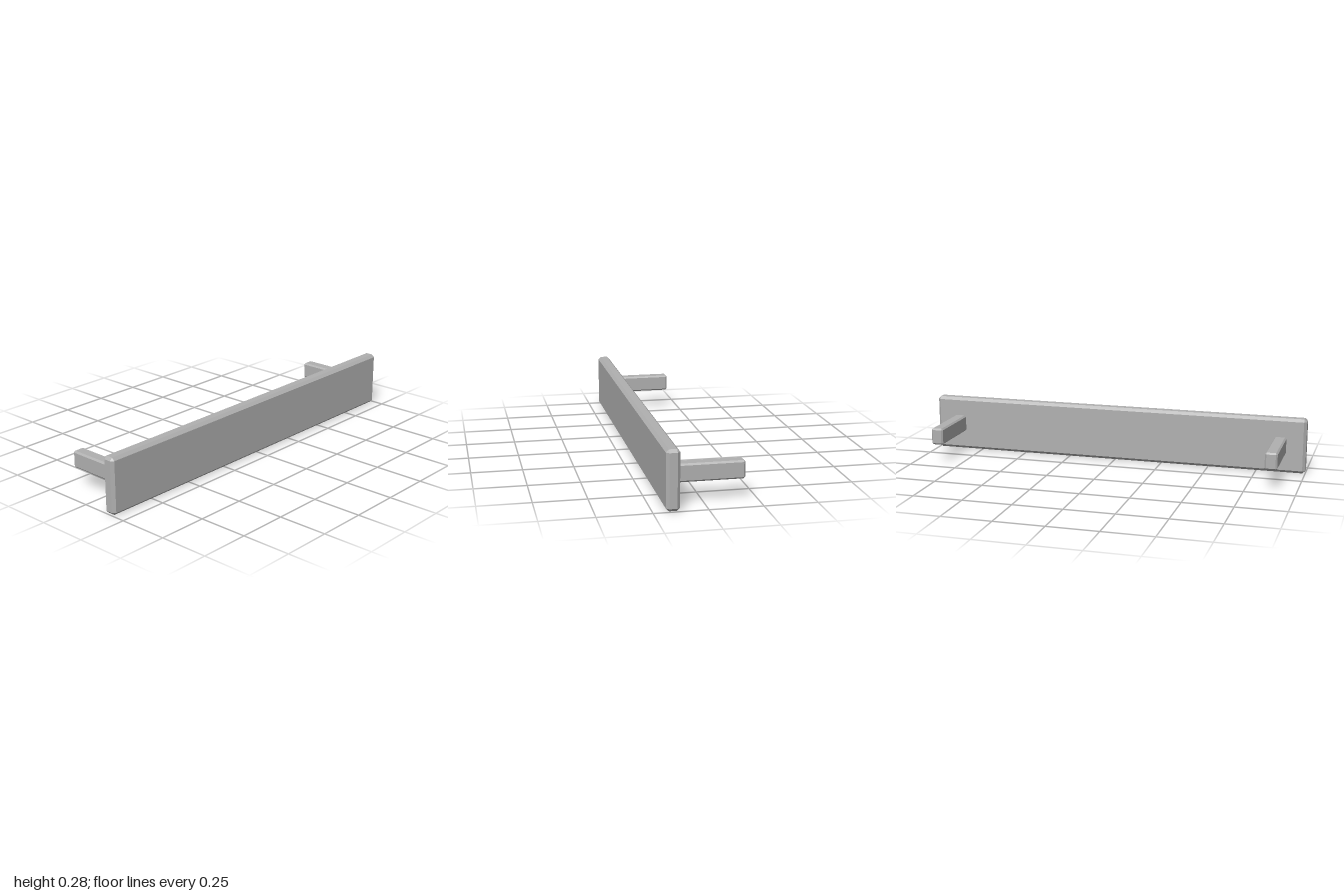
import * as THREE from 'three';
import { ConvexGeometry } from 'three/addons/geometries/ConvexGeometry.js';

// Box with flat chamfers on every edge, as the hull of its 24 corner points
function chamferedBox(w, h, d, c) {
  const half = [w / 2, h / 2, d / 2];
  const points = [];
  for (const sx of [-1, 1]) for (const sy of [-1, 1]) for (const sz of [-1, 1]) {
    for (let outer = 0; outer < 3; outer++) {
      const [x, y, z] = half.map((v, i) => (i === outer ? v : v - c));
      points.push(new THREE.Vector3(sx * x, sy * y, sz * z));
    }
  }
  return new ConvexGeometry(points);
}

export function createModel() {
  const group = new THREE.Group();
  group.name = 'wallRail';
  const grey = new THREE.MeshStandardMaterial({ color: 0xb0b0b0 });
  grey.name = 'grey';

  // Long front board
  const board = new THREE.Mesh(chamferedBox(2, 0.282, 0.064, 0.014), grey);
  board.name = 'frontBoard';
  board.position.set(0, 0.141, 0.159);
  group.add(board);

  // Two brackets reaching back from the board, their front ends sunk into it
  const bracketGeometry = chamferedBox(0.062, 0.086, 0.345, 0.008);
  for (const side of [-1, 1]) {
    const bracket = new THREE.Mesh(bracketGeometry, grey);
    bracket.name = side > 0 ? 'leftBracket' : 'rightBracket';
    bracket.position.set(side * 0.87, 0.142, -0.0185);
    group.add(bracket);
  }
  return group;
}
